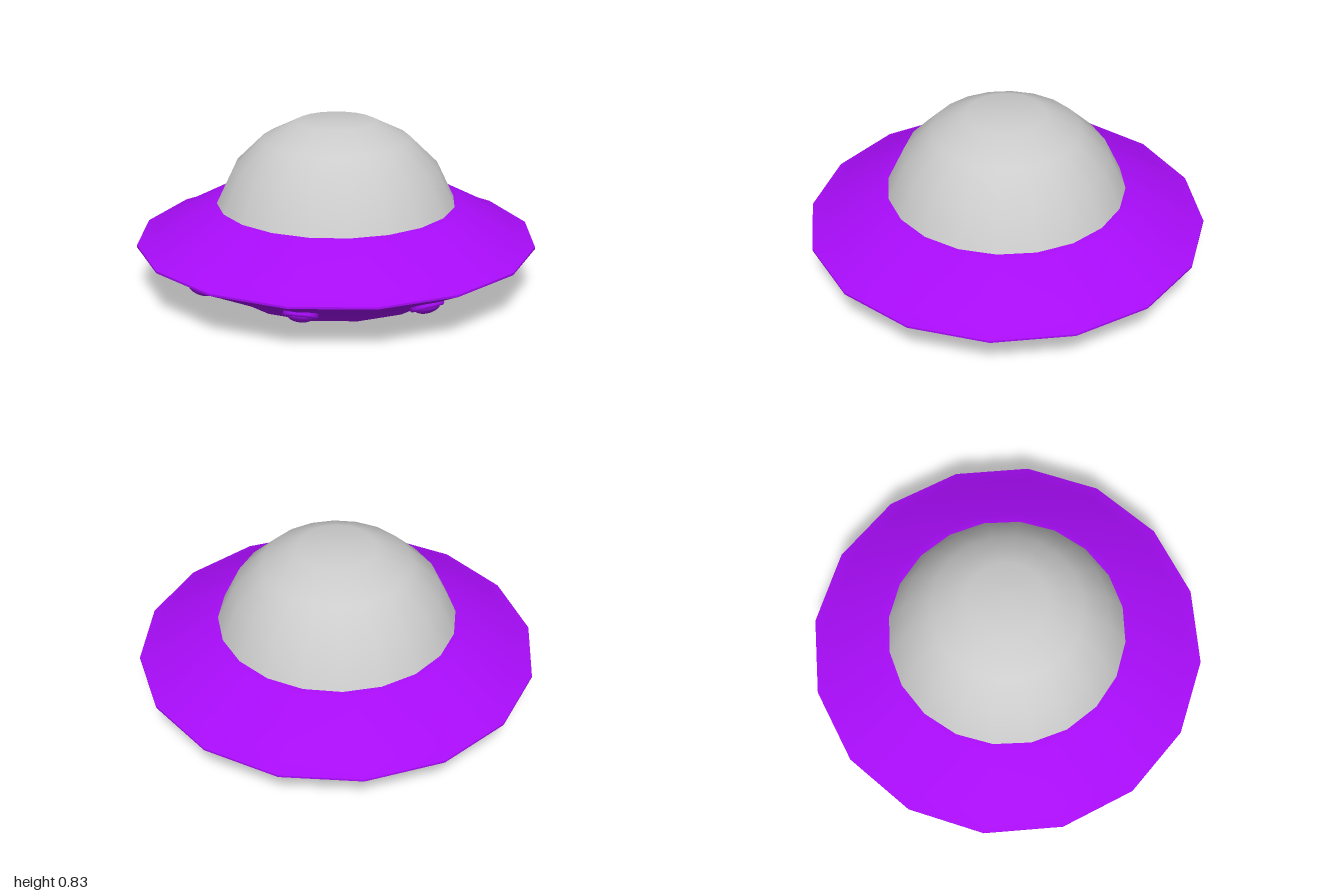
import * as THREE from 'three';

const purple = new THREE.MeshStandardMaterial({ color: 0xa80cf8 });
const grey = new THREE.MeshStandardMaterial({ color: 0xcccccc });

// Turned part from [radius, height] pairs, listed bottom to top
function turned(name, profile, sides, material) {
  const points = profile.map(([r, y]) => new THREE.Vector2(r, y));
  const mesh = new THREE.Mesh(new THREE.LatheGeometry(points, sides), material);
  mesh.name = name;
  return mesh;
}

// Ring-mounted lamp, built along +y
function createLight() {
  const light = new THREE.Group();
  light.name = 'light';
  light.add(
    turned('lightRing', [[0.083, -0.01], [0.083, 0.008], [0.076, 0.016], [0.066, 0.016], [0.06, 0.006]], 16, purple)
  );
  const bulb = new THREE.Mesh(new THREE.SphereGeometry(0.063, 16, 6, 0, Math.PI * 2, 0, Math.PI / 2), purple);
  bulb.name = 'lightBulb';
  bulb.scale.y = 0.5;
  bulb.position.y = 0.006;
  light.add(bulb);
  return light;
}

export function createModel() {
  const model = new THREE.Group();
  model.name = 'flyingSaucer';

  // Sixteen-sided hull, split where the edges are sharp
  const hull = new THREE.Group();
  hull.name = 'hull';
  hull.add(
    turned('hullFloor', [[0, 0], [0.57, 0]], 16, purple),
    turned('lowerHull', [[0.57, 0], [0.63, 0.045], [0.92, 0.195], [1, 0.235]], 16, purple),
    turned('hullRim', [[1, 0.235], [1, 0.245]], 16, purple),
    turned('upperHull', [[1, 0.245], [0.92, 0.277], [0.64, 0.425], [0.55, 0.425]], 16, purple)
  );
  model.add(hull);

  // Twenty-sided dome with a flattened crown
  model.add(
    turned('dome', [[0.6, 0.42], [0.51, 0.608], [0.37, 0.745], [0.195, 0.832], [0, 0.832]], 20, grey)
  );

  // Eight lights around the sloping underside
  const up = new THREE.Vector3(0, 1, 0);
  for (let i = 0; i < 8; i++) {
    const a = (i / 8) * Math.PI * 2;
    const light = createLight();
    light.position.set(Math.sin(a) * 0.77, 0.117, Math.cos(a) * 0.77);
    const normal = new THREE.Vector3(Math.sin(a) * 0.46, -0.89, Math.cos(a) * 0.46).normalize();
    light.quaternion.setFromUnitVectors(up, normal);
    model.add(light);
  }
  return model;
}
